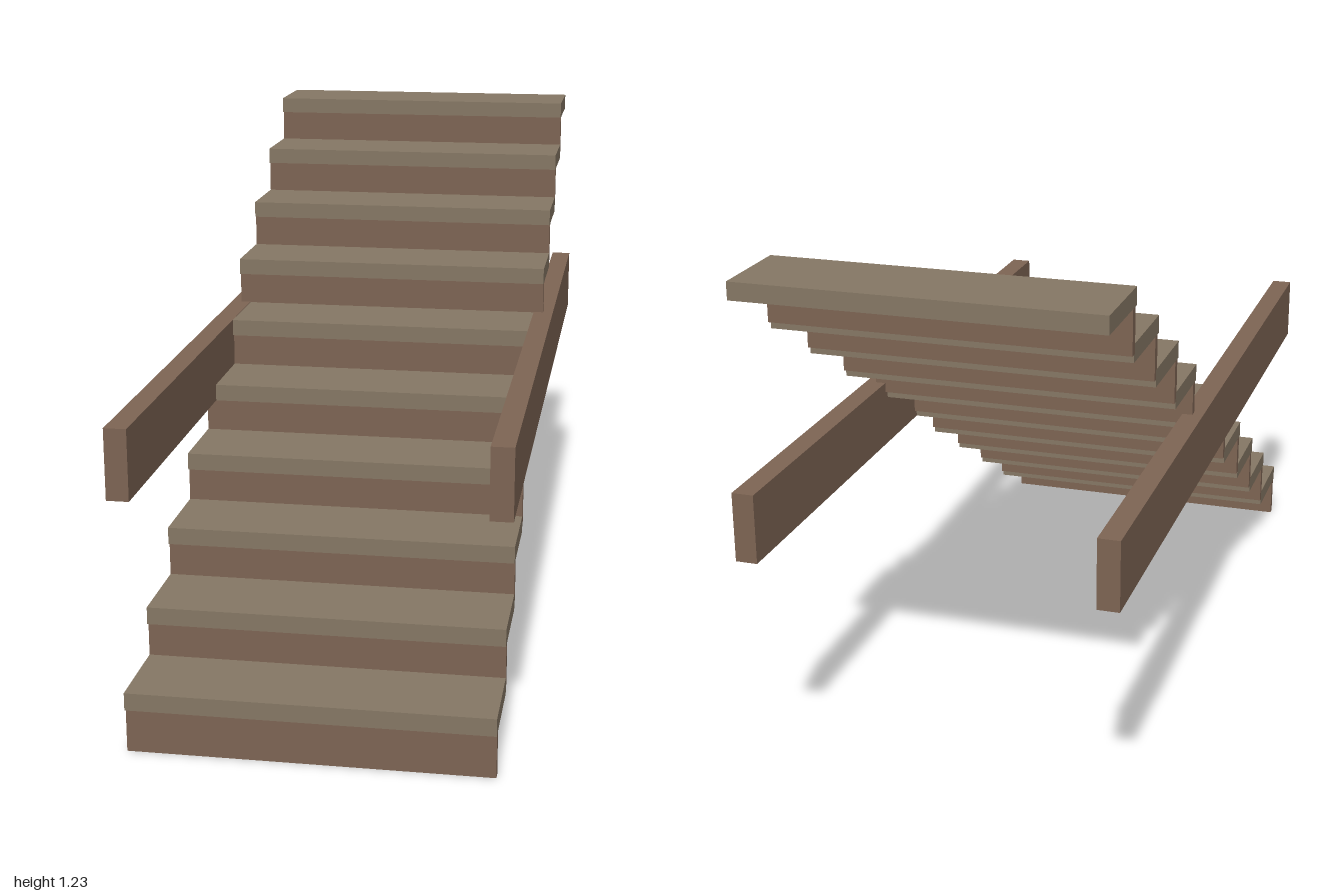
import * as THREE from 'three';

const STEPS = 10;
const RISE = 0.121, RUN = 0.1983;
const WIDTH = 0.824;
const TREAD_DEPTH = 0.215, TREAD_THICK = 0.041;
const RISER_HEIGHT = 0.103, RISER_THICK = 0.02, NOSING = 0.01;

export function createModel() {
  const model = new THREE.Group();
  model.name = 'staircase';

  const treadMaterial = new THREE.MeshStandardMaterial({ color: 0x857764 });
  const darkMaterial = new THREE.MeshStandardMaterial({ color: 0x7d6453 });

  const addBox = (name, size, position, material, parent) => {
    const mesh = new THREE.Mesh(new THREE.BoxGeometry(...size), material);
    mesh.name = name;
    mesh.position.set(...position);
    parent.add(mesh);
  };

  // Steps: each is a riser with an overhanging tread on top
  for (let i = 0; i < STEPS; i++) {
    const step = new THREE.Group();
    step.name = `step${i + 1}`;
    step.position.set(0, i * RISE, 1 - i * RUN);
    addBox('riser', [WIDTH, RISER_HEIGHT, RISER_THICK],
      [0, RISER_HEIGHT / 2, -NOSING - RISER_THICK / 2], darkMaterial, step);
    addBox('tread', [WIDTH, TREAD_THICK, TREAD_DEPTH],
      [0, RISER_HEIGHT + TREAD_THICK / 2, -TREAD_DEPTH / 2], treadMaterial, step);
    model.add(step);
  }

  // Level side beams
  for (const side of [-1, 1]) {
    addBox(side > 0 ? 'leftBeam' : 'rightBeam', [0.051, 0.163, 1.976],
      [side * 0.4125, 0.6685, 0], darkMaterial, model);
  }

  return model;
}
